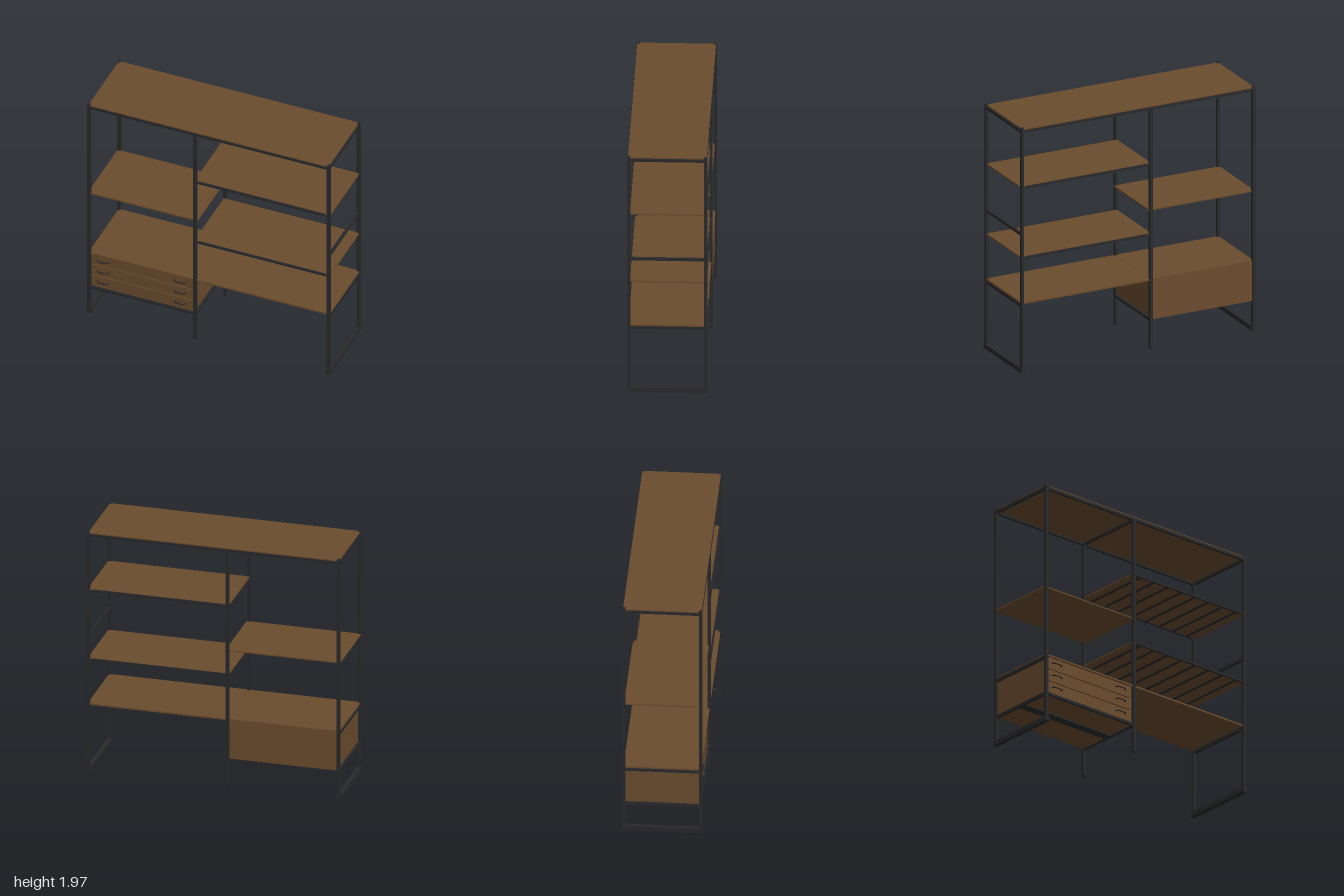
import * as THREE from 'three';

export function createModel() {
  const root = new THREE.Group();
  root.name = 'shelvingUnit';
  const wood = new THREE.MeshStandardMaterial({ color: 0x6b4c2e });
  wood.name = 'brown wood';
  const metal = new THREE.MeshStandardMaterial({ color: 0x29292b });
  metal.name = 'black metal';

  // box given by its lower and upper corners
  const box = (name, mat, x0, x1, y0, y1, z0, z1, parent = root) => {
    const m = new THREE.Mesh(new THREE.BoxGeometry(x1 - x0, y1 - y0, z1 - z0), mat);
    m.position.set((x0 + x1) / 2, (y0 + y1) / 2, (z0 + z1) / 2);
    m.name = name;
    parent.add(m);
    return m;
  };
  // four-sided tapered tip for the posts
  const tip = (name, x, y, z, top, bottom, h) => {
    const g = new THREE.CylinderGeometry(top * Math.SQRT1_2, bottom * Math.SQRT1_2, h, 4).toNonIndexed();
    g.rotateY(Math.PI / 4);
    g.computeVertexNormals();
    const m = new THREE.Mesh(g, metal);
    m.position.set(x, y, z);
    m.name = name;
    root.add(m);
  };

  const EX = 0.98, MX = -0.112, PZ = 0.29, R = 0.012;

  // posts
  for (const z of [-PZ, PZ]) {
    for (const x of [-EX, EX]) {
      box('endPost', metal, x - R, x + R, 0.03, 1.96, z - R, z + R);
      tip('postCap', x, 1.965, z, 0.018, 0.024, 0.01);
    }
    box('middlePost', metal, MX - R, MX + R, 0.015, 1.935, z - R, z + R);
    tip('middleFoot', MX, 0.0075, z, 0.024, 0.014, 0.015);
  }

  // floor runners and crossbars
  for (const x of [-EX, EX]) box('footRunner', metal, x - 0.018, x + 0.018, 0, 0.036, -0.305, 0.305);
  const crossbar = (x, y0, y1) => box('crossbar', metal, x - 0.01, x + 0.01, y0, y1, -PZ, PZ);
  for (const x of [-EX, MX, EX]) {
    crossbar(x, 1.928, 1.95);
    crossbar(x, 0.525, 0.548);
  }
  for (const x of [-EX, MX]) crossbar(x, 0.224, 0.245);
  crossbar(EX, 1.1, 1.121);

  // top frame and board
  for (const z of [-PZ, PZ]) box('topRail', metal, -EX, EX, 1.928, 1.95, z - 0.01, z + 0.01);
  box('topBoard', wood, -0.985, 0.978, 1.944, 1.959, -0.297, 0.297);

  // right bay shelves on battened frames
  for (const y of [0.92, 1.485]) {
    box('shelfBoard', wood, MX - 0.008, EX + 0.008, y - 0.003, y + 0.007, -0.286, 0.286);
    for (const z of [-0.288, 0.288]) {
      box('shelfRail', metal, MX - 0.012, EX + 0.01, y - 0.009, y + 0.003, z - 0.008, z + 0.008);
      box('shelfLip', metal, -0.09, 0.95, y + 0.003, y + 0.008, z - 0.006, z + 0.006);
    }
    for (let i = 0; i < 8; i++) {
      const x = -0.04 + i * 0.135;
      box('shelfBatten', metal, x - 0.011, x + 0.011, y - 0.008, y - 0.002, -0.28, 0.28);
    }
  }

  // left bay shelf and desk level boards
  box('leftShelf', wood, -0.992, -0.095, 1.113, 1.123, -0.288, 0.288);
  box('deskBoard', wood, MX + 0.001, EX + 0.005, 0.548, 0.561, -0.293, 0.293);
  box('cabinetTop', wood, -EX - 0.005, MX - 0.001, 0.548, 0.561, -0.293, 0.293);

  // drawer cabinet
  const cab = new THREE.Group();
  cab.name = 'drawerCabinet';
  root.add(cab);
  box('cabinetSide', wood, -0.972, -0.96, 0.24, 0.548, -0.277, 0.279, cab);
  box('cabinetSide', wood, -0.138, -0.122, 0.24, 0.548, -0.277, 0.279, cab);
  box('cabinetBack', wood, -0.972, -0.122, 0.235, 0.548, -0.289, -0.277, cab);
  box('cabinetBottom', wood, -0.972, -0.122, 0.235, 0.247, -0.277, 0.277, cab);
  box('bottomRail', metal, -EX, MX, 0.225, 0.246, 0.275, 0.295, cab);
  box('bottomBeam', metal, -EX, MX, 0.225, 0.236, -0.035, 0.035, cab);
  box('shadowGap', metal, -0.96, -0.138, 0.247, 0.548, 0.258, 0.264, cab);

  // drawers with bowed pulls
  for (const y of [0.301, 0.401, 0.501]) {
    box('drawerFront', wood, -0.958, -0.14, y - 0.048, y + 0.045, 0.264, 0.28, cab);
    for (const x of [-0.87, -0.238]) {
      const path = new THREE.CatmullRomCurve3([
        [-0.045, 0.278], [-0.041, 0.294], [-0.025, 0.301], [0.025, 0.301], [0.041, 0.294], [0.045, 0.278],
      ].map(([dx, z]) => new THREE.Vector3(x + dx, y, z)));
      const pull = new THREE.Mesh(new THREE.TubeGeometry(path, 20, 0.005, 6), metal);
      pull.name = 'drawerPull';
      cab.add(pull);
    }
  }
  return root;
}
